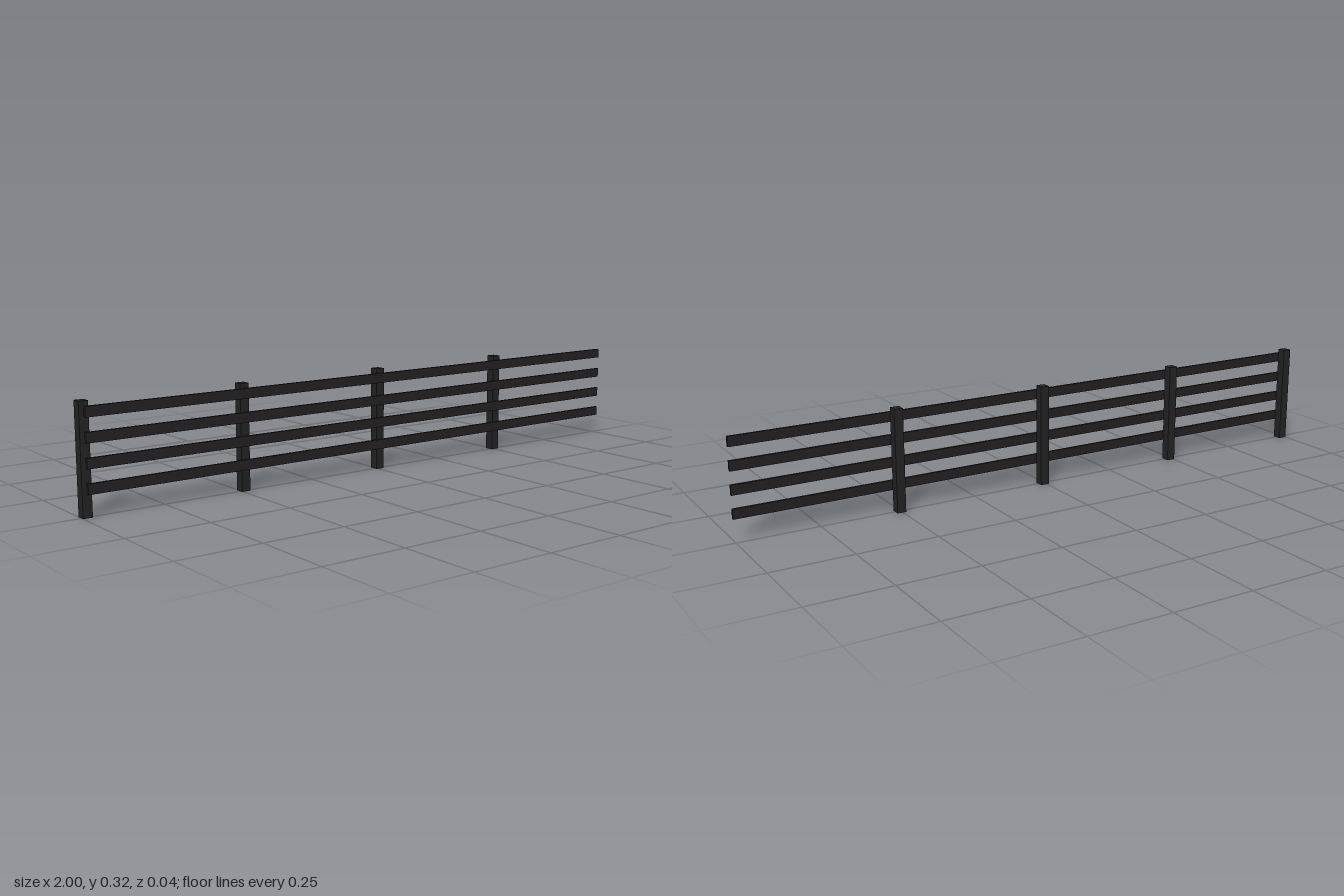
import * as THREE from 'three';

export function createModel() {
  const fence = new THREE.Group();
  fence.name = 'railFence';

  const postPaint = new THREE.MeshStandardMaterial({ color: 0x222222 });
  postPaint.name = 'black post paint';
  const railPaint = new THREE.MeshStandardMaterial({ color: 0x221f21 });
  railPaint.name = 'black rail paint';

  const addBox = (name, material, size, position) => {
    const mesh = new THREE.Mesh(new THREE.BoxGeometry(...size), material);
    mesh.name = name;
    mesh.position.set(...position);
    fence.add(mesh);
  };

  // Evenly spaced square posts; the +x end is open so sections can be chained
  const firstPost = -0.986, spacing = 0.4965;
  for (let i = 0; i < 4; i++) {
    addBox(`post${i + 1}`, postPaint, [0.028, 0.318, 0.0285], [firstPost + i * spacing, 0.159, -0.0037]);
  }

  // Thin boards fixed to the front of the posts, starting mid-post
  const railLength = 1 - firstPost;
  for (let i = 0; i < 4; i++) {
    addBox(`rail${i + 1}`, railPaint, [railLength, 0.03, 0.009], [1 - railLength / 2, 0.08 + i * 0.0697, 0.015]);
  }

  return fence;
}
